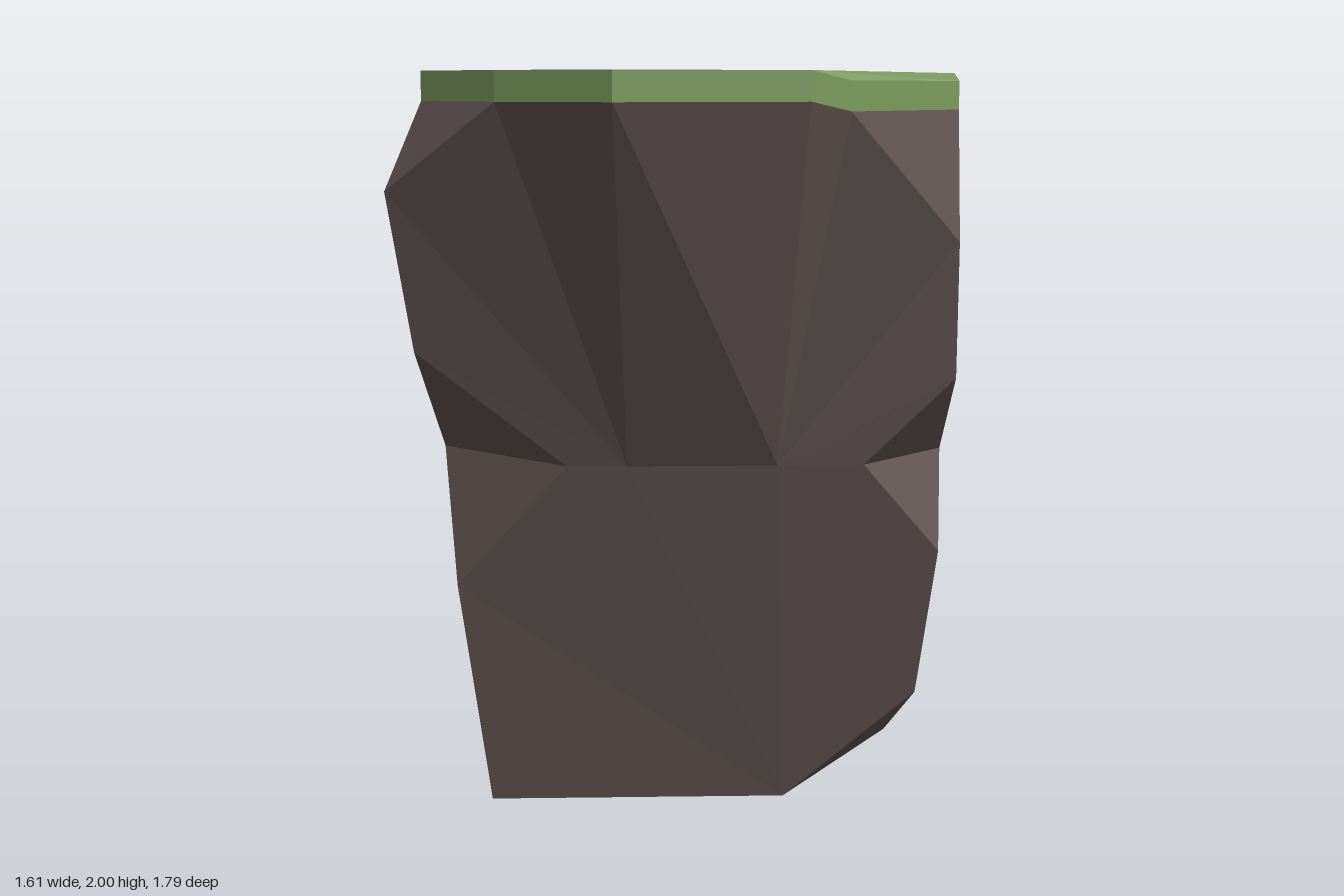
import * as THREE from 'three';
import { ConvexGeometry } from 'three/addons/geometries/ConvexGeometry.js';

// Convex faceted solid around a handful of corner points
function convexBlock(name, points, material) {
  const mesh = new THREE.Mesh(
    new ConvexGeometry(points.map((p) => new THREE.Vector3(...p))),
    material
  );
  mesh.name = name;
  return mesh;
}

// Faceted shell from named corners; each face is a fan from its first corner,
// turned to face away from the given centre
function shell(name, corners, faces, centre, material) {
  const positions = [];
  const triangle = new THREE.Triangle();
  const normal = new THREE.Vector3();
  const middle = new THREE.Vector3();
  for (const face of faces) {
    const [hub, ...rest] = face.split(' ').map((key) => new THREE.Vector3(...corners[key]));
    for (let i = 0; i + 1 < rest.length; i++) {
      triangle.set(hub, rest[i], rest[i + 1]);
      triangle.getNormal(normal);
      triangle.getMidpoint(middle).sub(centre);
      const order = normal.dot(middle) > 0
        ? [hub, rest[i], rest[i + 1]]
        : [hub, rest[i + 1], rest[i]];
      order.forEach((v) => positions.push(v.x, v.y, v.z));
    }
  }
  const geometry = new THREE.BufferGeometry();
  geometry.setAttribute('position', new THREE.Float32BufferAttribute(positions, 3));
  geometry.computeVertexNormals();
  const mesh = new THREE.Mesh(geometry, material);
  mesh.name = name;
  return mesh;
}

export function createModel() {
  const rock = new THREE.MeshStandardMaterial({ color: 0x5c504e });
  rock.name = 'brown rock';
  const grass = new THREE.MeshStandardMaterial({ color: 0x7c9a5e });
  grass.name = 'grass green';

  // Outline of the grass: x, z, and how far the rim sags
  const rim = [
    [-0.70, -0.48, 0], [-0.23, -0.66, 0], [0.26, -0.75, 0], [0.49, -0.76, 0],
    [0.80, -0.45, 0], [0.71, 0.21, 0.025], [0.37, 0.64, 0.025], [0.26, 0.74, 0],
    [-0.23, 0.895, 0], [-0.52, 0.75, 0], [-0.725, 0.48, 0], [-0.72, 0, 0],
  ];
  const rimTop = rim.map(([x, z, sag]) => [x, 2 - sag, z]);
  const rimBottom = rim.map(([x, z, sag]) => [x, 1.923 - sag, z]);

  const corners = {
    // Narrow waist, front then right, back and left
    wf0: [-0.36, 0.966, 0.49], wf1: [-0.2, 0.966, 0.495],
    wf2: [0.2, 0.966, 0.495], wf3: [0.43, 0.966, 0.49],
    wr0: [0.67, 0.966, 0.24], wr1: [0.67, 0.966, -0.68],
    wb0: [0.2, 0.966, -0.675], wb1: [-0.2, 0.966, -0.67],
    wl0: [-0.775, 0.966, -0.65], wl1: [-0.71, 0.966, 0.16],
    // Overhanging corners above the waist
    leftHigh: [-0.805, 1.70, 0.65], leftLow: [-0.75, 1.28, 0.55],
    rightHigh: [0.67, 1.56, 0.52], rightLow: [0.67, 1.20, 0.505],
    backRight: [0.76, 1.08, -0.73],
    // Chipped corners below the waist
    leftChip: [-0.66, 0.63, 0.43], rightChip: [0.64, 0.72, 0.45],
    a: [0.59, 0.31, 0.40], b: [0.55, 0.09, 0.05], d: [0.56, 0.28, -0.59],
    // Base
    c: [0.23, 0, 0.36], f: [-0.58, 0, 0.36], e: [0.17, 0, -0.595], p: [-0.56, 0.09, -0.29],
  };
  rimBottom.forEach((point, i) => { corners['t' + i] = point; });

  const faces = [
    // Upper front and its chips
    't8 t7 wf2 wf1', 'wf1 t8 t9 leftHigh leftLow wf0', 'wf2 t7 t6 rightHigh rightLow wf3',
    't9 t10 leftHigh', 't6 t5 rightHigh', 'leftLow wf0 wl1', 'rightLow wf3 wr0',
    // Upper right side
    't5 t4 backRight wr1 wr0 rightLow rightHigh',
    // Upper back
    't3 t4 backRight', 't2 t3 backRight wr1 wb0', 't1 t2 wb0 wb1', 't0 t1 wb1 wl0',
    // Upper left side
    't11 t10 leftHigh wl1 wl0 t0', 'leftHigh leftLow wl1',
    // Lower front and its chips
    'c f leftChip wf0 wf1 wf2 wf3 rightChip a', 'wf0 leftChip wl1', 'wf3 rightChip wr0',
    // Lower right, back and left sides
    'wr0 rightChip a b d wr1', 'e d wr1 wb0 wb1 p', 'wb1 wl0 p', 'wl1 leftChip f p wl0',
    // Underside
    'a b c', 'e c b d', 'f c e p',
  ];

  // Slim rock leaning on the back, narrowing to its foot
  const buttress = [
    [-0.19, 0.985, -0.66], [0.19, 0.975, -0.66],
    [-0.19, 0.955, -0.87], [-0.06, 0.96, -0.9], [0.07, 0.96, -0.9],
    [0.19, 0.91, -0.78], [0.19, 0.63, -0.88],
    [0.09, 0.16, -0.72], [-0.05, 0, -0.72],
    [-0.05, 0, -0.51], [0.17, 0, -0.595],
  ];

  const group = new THREE.Group();
  group.name = 'grassyRock';
  group.add(
    convexBlock('grassCap', [...rimTop, ...rimBottom], grass),
    shell('rockBody', corners, faces, new THREE.Vector3(0, 0.97, 0), rock),
    convexBlock('backButtress', buttress, rock)
  );
  return group;
}
